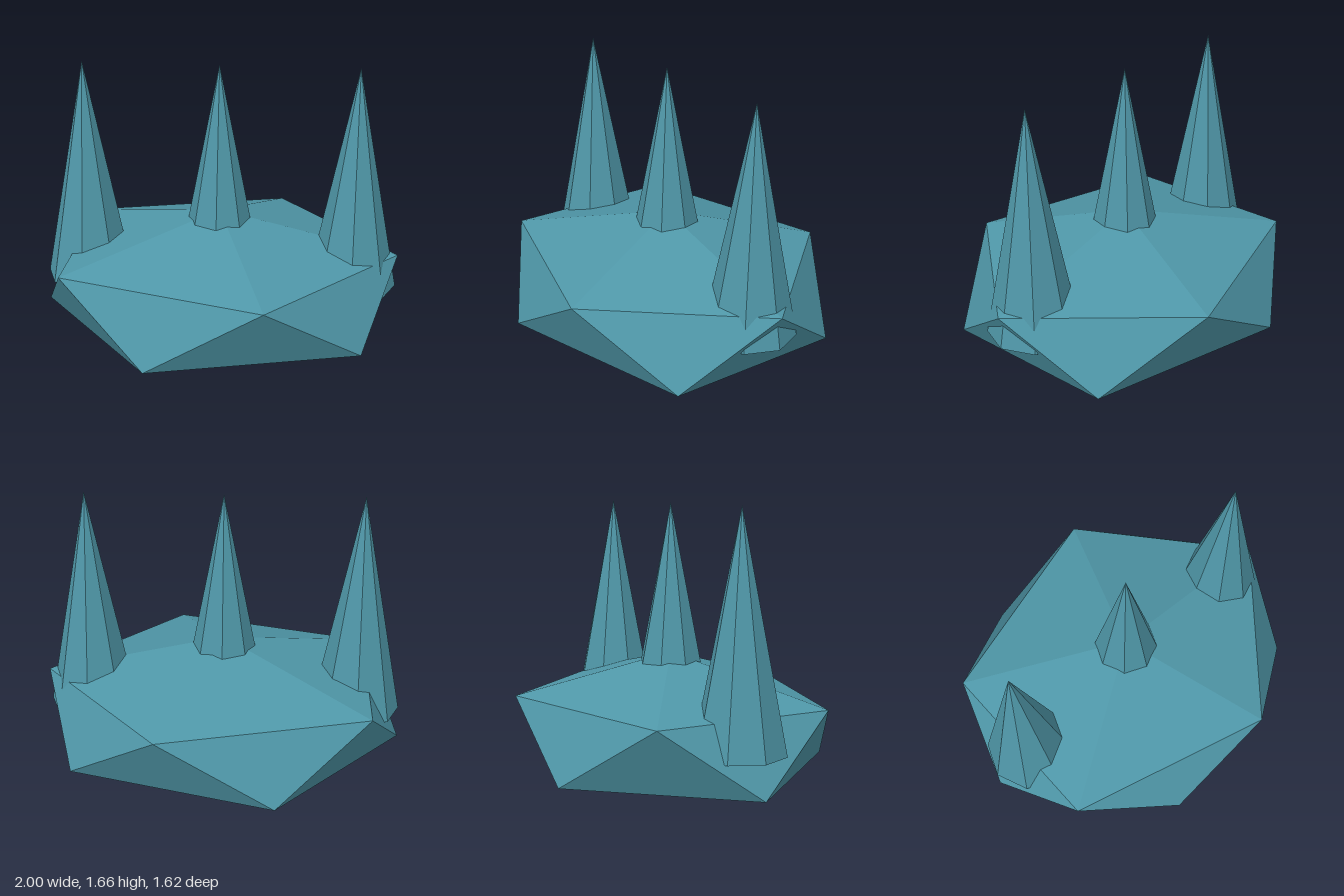
import * as THREE from 'three';
import { ConvexGeometry } from 'three/addons/geometries/ConvexGeometry.js';

export function createModel() {
  const model = new THREE.Group();
  model.name = 'spikedRock';
  const teal = new THREE.MeshStandardMaterial({ color: 0x4f97a8, flatShading: true });
  teal.name = 'teal';

  // Rock: a squashed icosahedron, two poles and two staggered rings of five
  const half = 0.415, depth = 0.85;
  const points = [new THREE.Vector3(0, half, 0), new THREE.Vector3(0, -half, 0)];
  for (const side of [1, -1]) {
    for (let i = 0; i < 5; i++) {
      const a = (i * 2 * Math.PI) / 5;
      points.push(new THREE.Vector3(
        side * Math.cos(a), (side * half) / Math.sqrt(5), side * depth * Math.sin(a)));
    }
  }
  const rock = new THREE.Mesh(new ConvexGeometry(points), teal);
  rock.name = 'rockBody';
  rock.position.y = half;
  model.add(rock);

  // Spikes: three eight-sided cones in a row, sunk into the rock
  const height = 1.245;
  const spikeGeometry = new THREE.ConeGeometry(0.247, height, 8);
  ['rightSpike', 'middleSpike', 'leftSpike'].forEach((name, i) => {
    const spike = new THREE.Mesh(spikeGeometry, teal);
    spike.name = name;
    spike.position.set((i - 1) * 0.747, half + height / 2, 0);
    model.add(spike);
  });

  return model;
}
